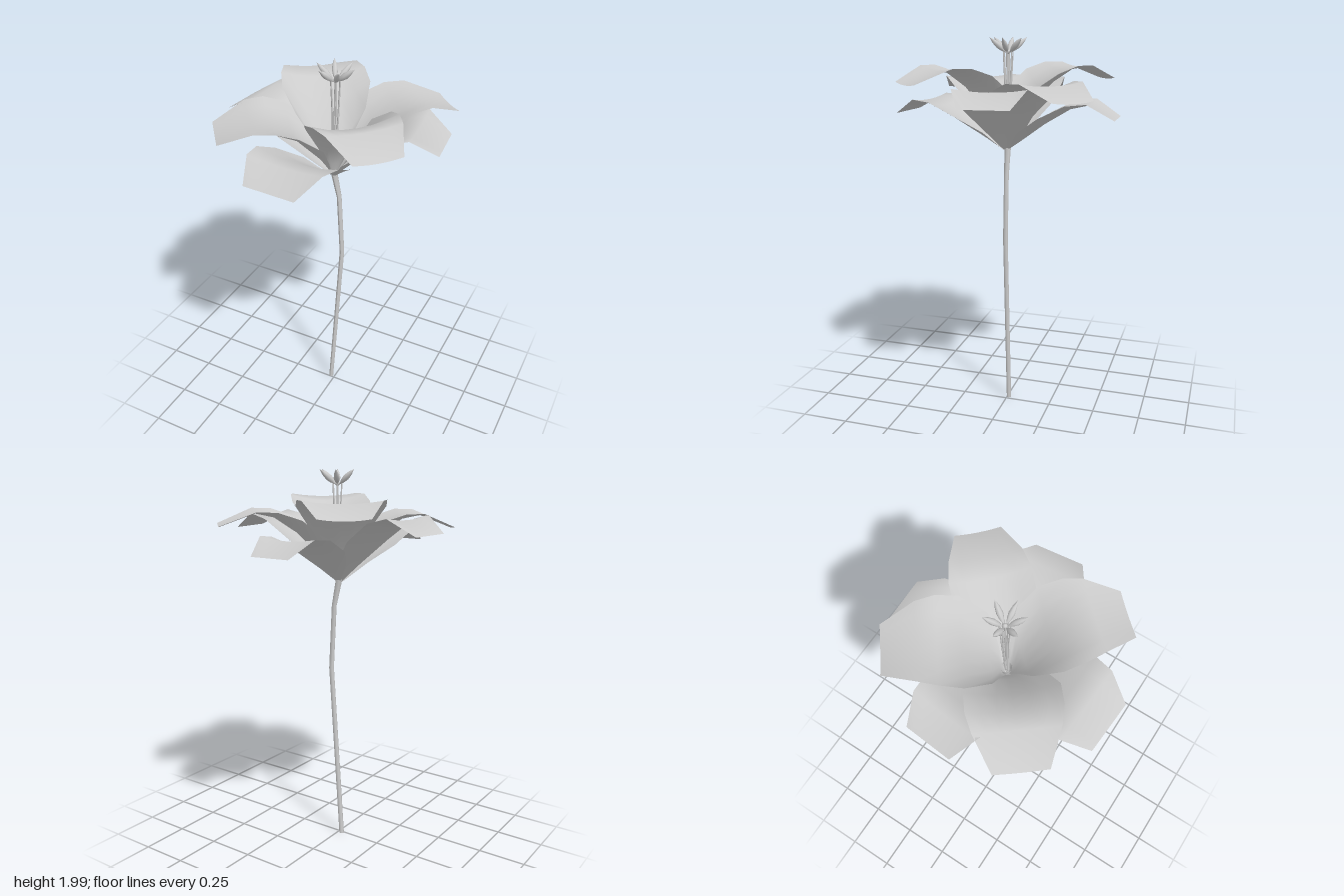
import * as THREE from 'three';

const material = new THREE.MeshStandardMaterial({ color: 0xcccccc, side: THREE.DoubleSide });

// Cross-sections from base to tip: [radius, midline height, half width, edge lift]
const UPPER = [
  [0.01, 1.44, 0.012, 0.0],
  [0.035, 1.51, 0.08, 0.08],
  [0.075, 1.59, 0.165, 0.15],
  [0.195, 1.745, 0.21, 0.08],
  [0.3, 1.825, 0.203, 0.035],
  [0.39, 1.845, 0.18, 0.015],
  [0.55, 1.78, 0.117, 0.01],
];
const MIDDLE = [
  [0.01, 1.435, 0.012, 0.0],
  [0.035, 1.48, 0.07, 0.05],
  [0.075, 1.54, 0.14, 0.1],
  [0.195, 1.675, 0.2, 0.075],
  [0.3, 1.75, 0.2, 0.035],
  [0.39, 1.77, 0.18, 0.015],
  [0.55, 1.705, 0.117, 0.01],
];
const LOWER = [
  [0.01, 1.43, 0.012, 0.0],
  [0.08, 1.48, 0.11, 0.05],
  [0.2, 1.57, 0.185, 0.045],
  [0.33, 1.65, 0.195, 0.03],
  [0.43, 1.675, 0.178, 0.015],
  [0.56, 1.61, 0.12, 0.0],
];

// A cupped petal whose grid rows follow the cross-sections
function petal(name, sections, degrees, reach = 1, width = 1, raise = 0) {
  const g = new THREE.PlaneGeometry(2, 1, 6, sections.length - 1);
  const p = g.attributes.position;
  for (let i = 0; i < p.count; i++) {
    const u = p.getX(i);
    const [r, y, half, lift] = sections[Math.floor(i / 7)];
    const rise = raise * Math.min(1, r / 0.4);
    p.setXYZ(i, r * reach, y + lift * u * u + rise, u * half * width);
  }
  g.computeVertexNormals();
  const mesh = new THREE.Mesh(g, material);
  mesh.name = name;
  mesh.rotation.y = -THREE.MathUtils.degToRad(degrees);
  return mesh;
}

// A tapering tube: rings of [x, y, z, radius] joined in a loop
function stalk(name, rings, sides) {
  const g = new THREE.CylinderGeometry(1, 1, 1, sides, rings.length - 1, true);
  const p = g.attributes.position;
  for (let i = 0; i < p.count; i++) {
    const [x, y, z, r] = rings[rings.length - 1 - Math.floor(i / (sides + 1))];
    p.setXYZ(i, x + p.getX(i) * r, y, z + p.getZ(i) * r);
  }
  g.computeVertexNormals();
  const mesh = new THREE.Mesh(g, material);
  mesh.name = name;
  return mesh;
}

export function createModel() {
  const flower = new THREE.Group();
  flower.name = 'flower';

  // Bent stem, widening into the base of the bloom
  flower.add(stalk('stem', [
    [-0.022, 0, -0.01, 0.013],
    [0.045, 0.96, -0.01, 0.013],
    [0.027, 1.3, -0.01, 0.013],
    [0.0, 1.43, -0.008, 0.017],
    [0.0, 1.5, -0.005, 0.03],
  ], 8));

  // Four broad petals on the diagonals: one opposite pair lies over the other
  const upper = new THREE.Group();
  upper.name = 'upperPetals';
  upper.add(
    petal('frontLeftPetal', UPPER, 43, 1, 1),
    petal('backRightPetal', UPPER, 233, 1, 1.04),
    petal('frontRightPetal', MIDDLE, 141, 1.03, 1.06),
    petal('backLeftPetal', MIDDLE, 314, 1.11, 0.95, 0.015),
  );
  flower.add(upper);

  // Four lower petals between them, the side pair held higher
  const lower = new THREE.Group();
  lower.name = 'lowerPetals';
  lower.add(
    petal('frontPetal', LOWER, 93.5, 1, 1.12),
    petal('leftPetal', LOWER, -6.5, 0.98, 1, 0.085),
    petal('backPetal', LOWER, 269, 1.02, 0.9),
    petal('rightPetal', LOWER, 185, 0.98, 0.98, 0.09),
  );
  flower.add(lower);

  // Six stamens, each a thin filament with a pointed anther, around a pistil
  const stamens = new THREE.Group();
  stamens.name = 'stamens';
  const cx = 0.004, cz = -0.012;
  const profile = [[0.002, 0], [0.011, 0.025], [0.015, 0.05], [0.011, 0.08], [0, 0.112]];
  const antherGeometry = new THREE.LatheGeometry(profile.map(([x, y]) => new THREE.Vector2(x, y)), 8);
  [0, 55, 115, 178, 240, 300].forEach((deg) => {
    const a = THREE.MathUtils.degToRad(deg), c = Math.cos(a), s = Math.sin(a);
    stamens.add(stalk('filament', [
      [0.008 * c, 1.48, 0.008 * s, 0.004],
      [cx + 0.016 * c, 1.75, cz + 0.016 * s, 0.004],
      [cx + 0.026 * c, 1.94, cz + 0.026 * s, 0.003],
    ], 6));
    const anther = new THREE.Mesh(antherGeometry, material);
    anther.name = 'anther';
    anther.position.set(cx + 0.012 * c, 1.922, cz + 0.012 * s);
    anther.quaternion.setFromUnitVectors(
      new THREE.Vector3(0, 1, 0), new THREE.Vector3(c, 0.85, s).normalize());
    stamens.add(anther);
  });
  stamens.add(stalk('pistil', [[0, 1.46, 0, 0.006], [cx, 1.92, cz, 0.005]], 6));
  const stigma = new THREE.Mesh(new THREE.SphereGeometry(0.012, 8, 6), material);
  stigma.name = 'stigma';
  stigma.position.set(cx, 1.925, cz);
  stamens.add(stigma);
  flower.add(stamens);

  return flower;
}
